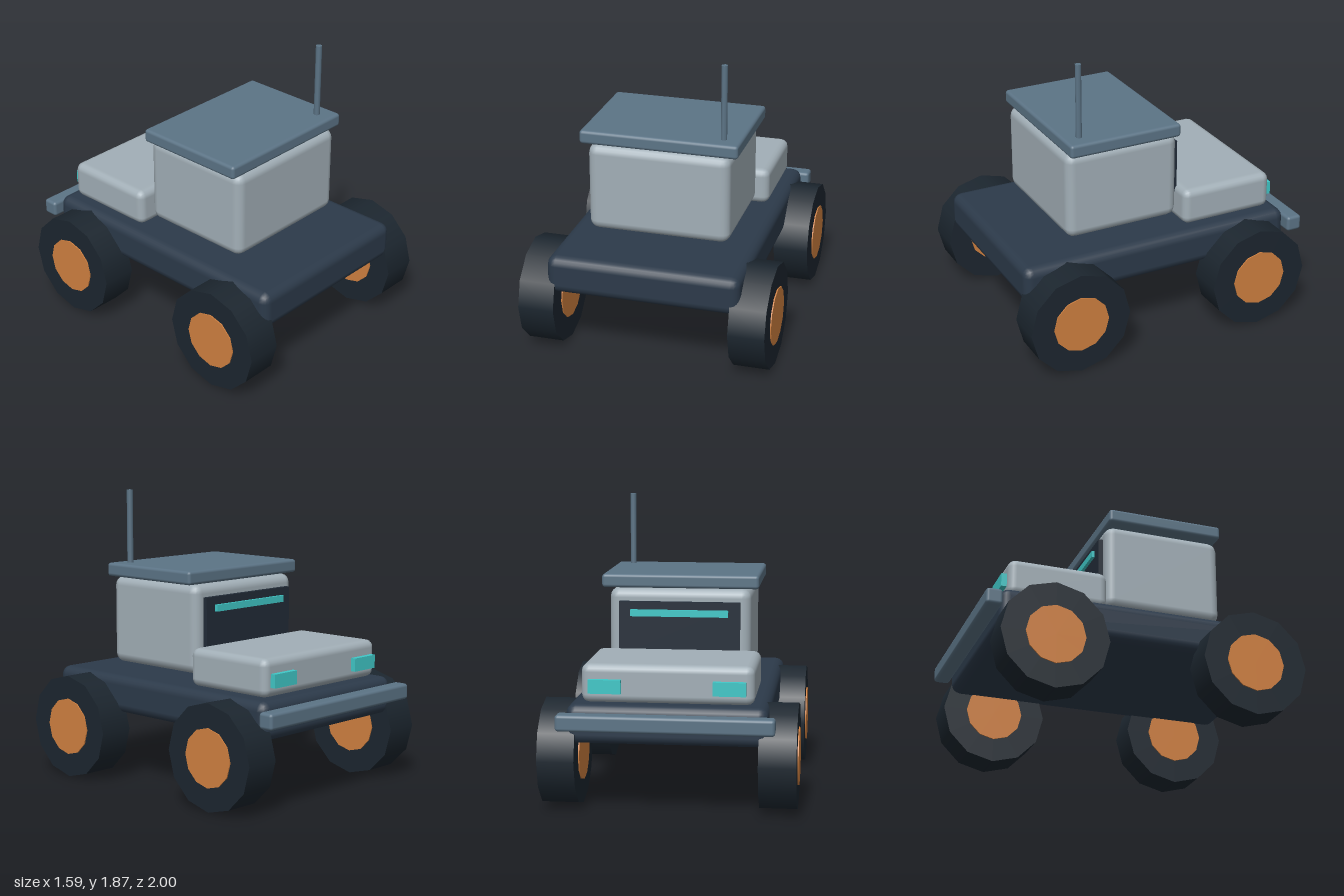
import * as THREE from 'three';
import { RoundedBoxGeometry } from 'three/addons/geometries/RoundedBoxGeometry.js';

const material = (color) => new THREE.MeshStandardMaterial({ color });

export function createModel() {
  const model = new THREE.Group();
  model.name = 'rover';

  const mats = {
    chassis: material(0x2c3a4a),
    body: material(0xa2afb7),
    trim: material(0x5c7486),
    tire: material(0x1c262f),
    hub: material(0xd08040),
    glass: material(0x222c38),
    light: material(0x40c8c8),
  };

  const add = (name, geometry, mat, parent = model) => {
    const mesh = new THREE.Mesh(geometry, mat);
    mesh.name = name;
    parent.add(mesh);
    return mesh;
  };

  // Box given by its [min, max] extents; a radius rounds its edges
  const box = (name, mat, [x0, x1], [y0, y1], [z0, z1], radius = 0) => {
    const size = [x1 - x0, y1 - y0, z1 - z0];
    const geometry = radius
      ? new RoundedBoxGeometry(...size, 2, radius)
      : new THREE.BoxGeometry(...size);
    add(name, geometry, mat).position.set((x0 + x1) / 2, (y0 + y1) / 2, (z0 + z1) / 2);
  };

  // Body
  box('chassis', mats.chassis, [-0.617, 0.617], [0.44, 0.684], [-0.9, 0.955], 0.06);
  box('cabin', mats.body, [-0.457, 0.457], [0.736, 1.307], [-0.18, 0.59], 0.06);
  box('hood', mats.body, [-0.53, 0.53], [0.685, 0.926], [-0.83, -0.195], 0.05);
  box('roof', mats.trim, [-0.507, 0.507], [1.309, 1.396], [-0.173, 0.585], 0.02);
  box('bumper', mats.trim, [-0.663, 0.663], [0.538, 0.64], [-1, -0.897], 0.02);

  // Windscreen with its light bar
  box('windscreen', mats.glass, [-0.39, 0.39], [0.873, 1.226], [-0.21, -0.178]);
  box('lightBar', mats.light, [-0.315, 0.315], [1.133, 1.176], [-0.23, -0.2]);

  // Headlights
  box('leftHeadlight', mats.light, [0.28, 0.48], [0.75, 0.835], [-0.865, -0.825]);
  box('rightHeadlight', mats.light, [-0.48, -0.28], [0.75, 0.835], [-0.865, -0.825]);

  // Antenna
  add('antenna', new THREE.CylinderGeometry(0.02, 0.02, 0.49, 8), mats.trim)
    .position.set(0.395, 1.627, 0.481);

  // Wheels: twelve-sided tyre, hub standing slightly proud on both sides
  const tireGeometry = new THREE.CylinderGeometry(0.336, 0.336, 0.23, 12).rotateZ(Math.PI / 2);
  const hubGeometry = new THREE.CylinderGeometry(0.185, 0.185, 0.245, 12).rotateZ(Math.PI / 2);
  for (const [end, z] of [['front', -0.607], ['rear', 0.665]]) {
    for (const [side, x] of [['Left', 0.674], ['Right', -0.674]]) {
      const wheel = new THREE.Group();
      wheel.name = `${end}${side}Wheel`;
      wheel.position.set(x, 0.336, z);
      add('tire', tireGeometry, mats.tire, wheel);
      add('hub', hubGeometry, mats.hub, wheel);
      model.add(wheel);
    }
  }

  return model;
}
